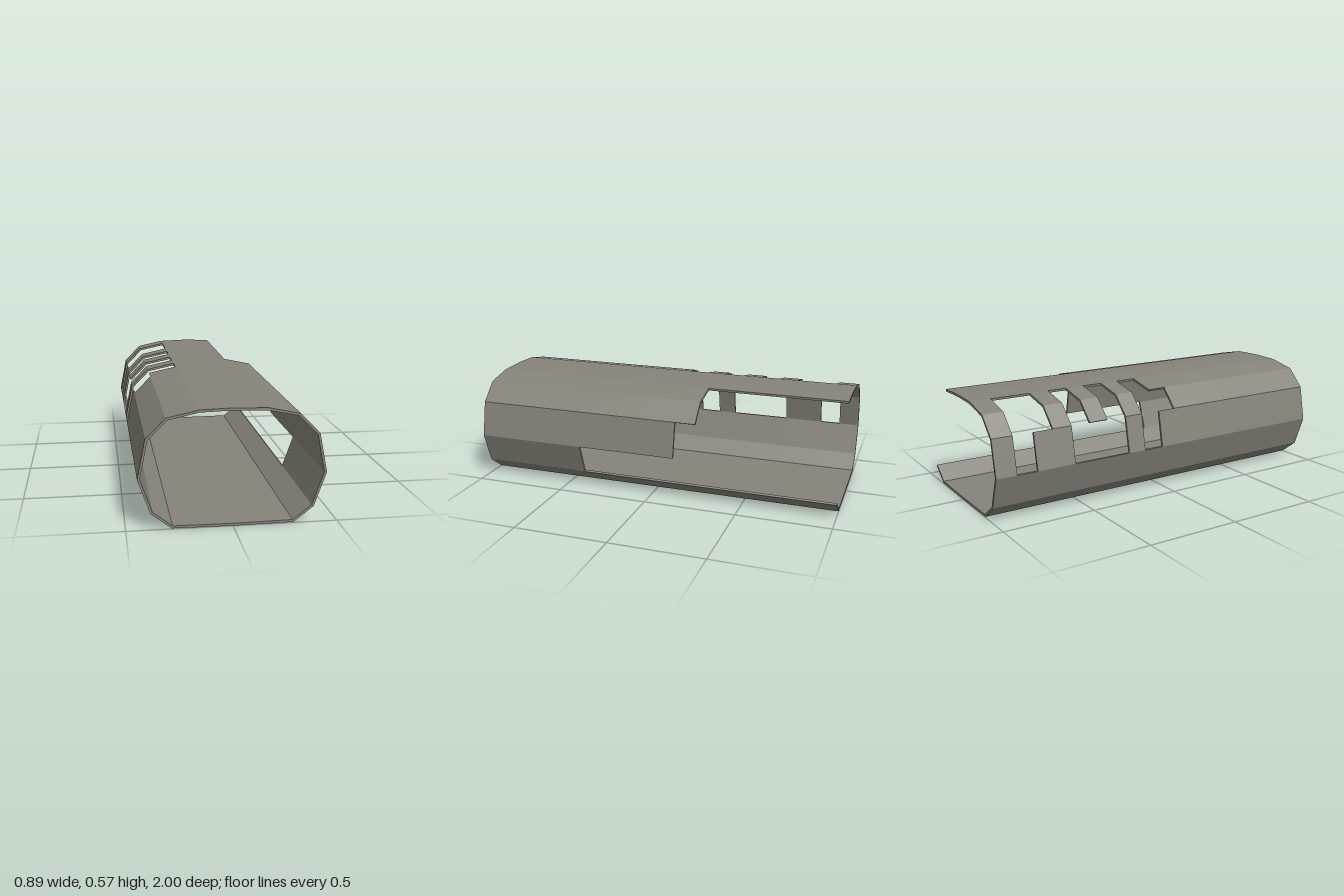
import * as THREE from 'three';

const WALL = 0.012;

// Half of the outer cross-section, from bottom centre up to top centre
const half = [[0, 0], [0.288, 0.003], [0.385, 0.078], [0.443, 0.244], [0.405, 0.433],
  [0.31, 0.53], [0.16, 0.562], [0, 0.567]];
const outer = [...half, ...half.slice(1, -1).reverse().map(([x, y]) => [-x, y])]
  .map(([x, y]) => new THREE.Vector2(x, y));
const N = outer.length;

// Inner cross-section: mitred inward offset
const inward = (a, b) => new THREE.Vector2(a.y - b.y, b.x - a.x).normalize();
const inner = outer.map((p, i) => {
  const n1 = inward(outer[(i + N - 1) % N], p);
  const n2 = inward(p, outer[(i + 1) % N]);
  const m = n1.clone().add(n2).normalize();
  return p.clone().addScaledVector(m, WALL / m.dot(n1));
});

// Openings per panel as z ranges
const openings = {
  // long open side
  2: [[-1, 0.4]],
  3: [[-1, -0.14]],
  4: [[-1, -0.25]],
  5: [[-1, -0.25]],
  // slotted side
  8: [[-0.89, -0.675], [-0.57, -0.465], [-0.36, -0.25], [-0.15, -0.04]],
  9: [[-0.89, -0.675], [-0.57, -0.465], [-0.36, -0.25], [-0.15, 0.06]],
  10: [[-0.89, -0.78], [-0.57, -0.25], [-0.15, -0.04]],
};
const cuts = [...new Set([-1, 1, ...Object.values(openings).flat(2)])].sort((a, b) => a - b);

function solid(panel, k) {
  if (k < 0 || k >= cuts.length - 1) return false;
  const z = (cuts[k] + cuts[k + 1]) / 2;
  return !(openings[(panel + N) % N] || []).some(([a, b]) => z > a && z < b);
}

// Thick sheet for a set of panels, with rims only along free edges
function sheet(panels) {
  const pos = [];
  const quad = (a, b, c, d) => [a, b, c, a, c, d].forEach((v) => pos.push(...v));
  for (const i of panels) {
    const j = (i + 1) % N;
    for (let k = 0; k < cuts.length - 1; k++) {
      if (!solid(i, k)) continue;
      const at = (p, z) => [p.x, p.y, z];
      const zb = cuts[k], zf = cuts[k + 1];
      const Pf = at(outer[i], zf), Pb = at(outer[i], zb), Qf = at(outer[j], zf), Qb = at(outer[j], zb);
      const pf = at(inner[i], zf), pb = at(inner[i], zb), qf = at(inner[j], zf), qb = at(inner[j], zb);
      quad(Pf, Pb, Qb, Qf);
      quad(pf, qf, qb, pb);
      if (!solid(i, k + 1)) quad(Pf, Qf, qf, pf);
      if (!solid(i, k - 1)) quad(Pb, pb, qb, Qb);
      if (!solid(i + 1, k)) quad(Qf, Qb, qb, qf);
      if (!solid(i - 1, k)) quad(Pf, pf, pb, Pb);
    }
  }
  const geo = new THREE.BufferGeometry();
  geo.setAttribute('position', new THREE.Float32BufferAttribute(pos, 3));
  geo.computeVertexNormals();
  return geo;
}

export function createModel() {
  const group = new THREE.Group();
  group.name = 'slottedSleeve';
  const metal = new THREE.MeshStandardMaterial({ color: 0x86837a, flatShading: true });
  metal.name = 'warmGrey';

  const parts = {
    floor: [13, 0],
    leftLowerBevel: [1],
    leftWall: [2, 3, 4, 5],
    roof: [6, 7],
    rightSlottedWall: [8, 9, 10, 11],
    rightLowerBevel: [12],
  };
  for (const [name, panels] of Object.entries(parts)) {
    const mesh = new THREE.Mesh(sheet(panels), metal);
    mesh.name = name;
    group.add(mesh);
  }
  return group;
}
